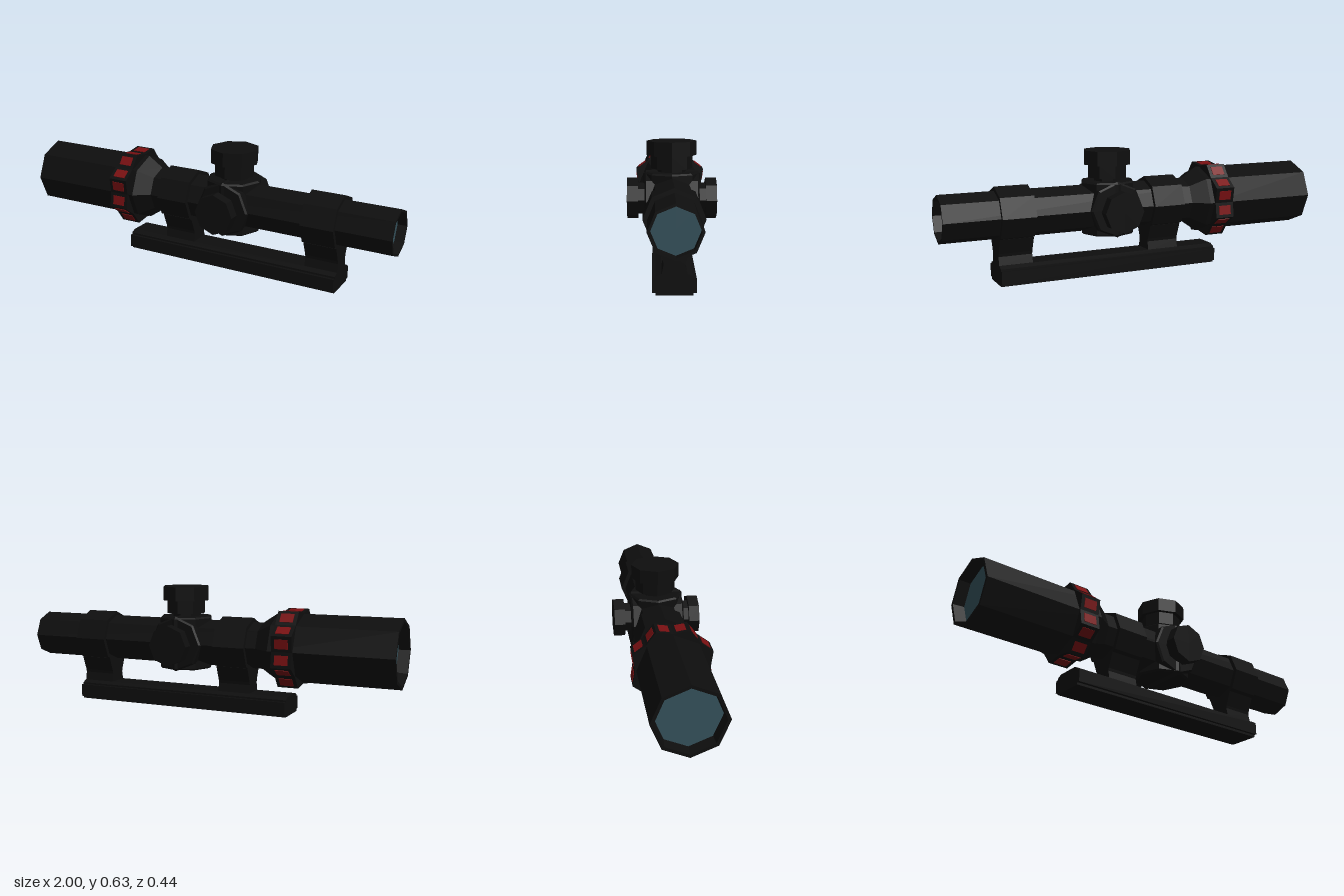
import * as THREE from 'three';

const AXIS_Y = 0.338;   // height of the optical axis
const TURRET_X = 0.133; // position of the adjustment turrets

export function createModel() {
  const black = new THREE.MeshStandardMaterial({ color: 0x0e0e0e });
  black.name = 'matte black';
  const red = new THREE.MeshStandardMaterial({ color: 0x7a1012 });
  red.name = 'dark red';
  const glass = new THREE.MeshStandardMaterial({ color: 0x34505a });
  glass.name = 'blue grey glass';

  const model = new THREE.Group();
  model.name = 'rifleScope';

  // Adds a faceted mesh
  function add(name, geometry, material, parent = model) {
    const g = geometry.index ? geometry.toNonIndexed() : geometry;
    g.computeVertexNormals();
    const mesh = new THREE.Mesh(g, material);
    mesh.name = name;
    parent.add(mesh);
    return mesh;
  }

  // Eight-sided turned part; the profile lists [radius, height]
  const turned = (profile) =>
    new THREE.LatheGeometry(profile.map(([r, h]) => new THREE.Vector2(r, h)), 8);

  // Turned part lying along x on the optical axis; the profile lists [x, radius]
  const alongAxis = (profile) =>
    turned(profile.map(([x, r]) => [r, x])).rotateZ(-Math.PI / 2).translate(0, AXIS_Y, 0);

  // Outline of [z, y] points extruded along x
  function extrudeX(points, x0, x1) {
    const shape = new THREE.Shape(points.map(([z, y]) => new THREE.Vector2(-z, y)));
    return new THREE.ExtrudeGeometry(shape, { depth: x1 - x0, bevelEnabled: false })
      .rotateY(Math.PI / 2).translate(x0, 0, 0);
  }
  const mirrored = (half) => [...half, ...half.map(([z, y]) => [-z, y]).reverse()];

  // Main tube with hollow ends
  add('mainTube', alongAxis([
    [-0.94, 0.148], [-1, 0.155], [-1, 0.171], [-0.38, 0.171], [-0.3, 0.118],
    [1, 0.118], [1, 0.106], [0.95, 0.105],
  ]), black);

  // Recessed lenses
  add('rightLens', new THREE.CircleGeometry(0.106, 8).rotateY(Math.PI / 2)
    .translate(0.955, AXIS_Y, 0), glass);
  add('leftLens', new THREE.CircleGeometry(0.15, 8).rotateY(-Math.PI / 2)
    .translate(-0.945, AXIS_Y, 0), glass);

  // Scalloped grip ring with a red mark on each facet
  const ring = new THREE.Group();
  ring.name = 'gripRing';
  ring.position.set(-0.4575, AXIS_Y, 0);
  model.add(ring);
  const corners = Array.from({ length: 16 }, (_, i) => {
    const a = (i * Math.PI) / 8;
    const r = i % 2 ? 0.204 : 0.177;
    return [r * Math.cos(a), r * Math.sin(a)];
  });
  add('ringBody', extrudeX(corners, -0.0525, 0.0525), black, ring);
  corners.forEach(([z0, y0], i) => {
    const [z1, y1] = corners[(i + 1) % 16];
    const length = Math.hypot(z1 - z0, y1 - y0);
    const mark = add('ringMark', new THREE.BoxGeometry(0.068, 0.006, length * 0.6), red, ring);
    mark.position.set(0, (y0 + y1) / 2, (z0 + z1) / 2);
    mark.rotation.x = -Math.atan2(y1 - y0, z1 - z0);
  });

  // Turret housing: two crossed drums with small bevels
  const drum = () => turned([
    [0, -0.135], [0.132, -0.135], [0.141, -0.127], [0.141, 0.127], [0.132, 0.135], [0, 0.135],
  ]);
  add('housingUpright', drum().translate(TURRET_X, AXIS_Y, 0), black);
  add('housingCross', drum().rotateX(Math.PI / 2).translate(TURRET_X, AXIS_Y, 0), black);

  // Top turret
  add('topTurret', turned([
    [0.072, 0.45], [0.072, 0.49], [0.103, 0.49], [0.103, 0.556],
    [0.124, 0.556], [0.124, 0.627], [0, 0.627],
  ]).translate(TURRET_X, 0, 0), black);

  // Side turrets
  for (const side of [1, -1]) {
    add(side > 0 ? 'frontTurret' : 'backTurret', turned([
      [0.078, 0.12], [0.078, 0.168], [0.103, 0.168], [0.103, 0.222], [0, 0.222],
    ]).rotateX(side * Math.PI / 2).translate(TURRET_X, AXIS_Y, 0), black);
  }

  // Clamp rings and their legs
  for (const [x0, x1] of [[-0.245, -0.075], [0.555, 0.725]]) {
    add('clampRing', alongAxis([[x0, 0.11], [x0, 0.139], [x1, 0.139], [x1, 0.11]]), black);
    add('mountLeg', extrudeX(mirrored([
      [0.056, 0.095], [0.047, 0.14], [0.05, 0.155], [0.08, 0.23],
    ]), x0, x1), black);
  }

  // Base rail with side ledges
  add('baseRail', extrudeX(mirrored([
    [0.083, 0], [0.083, 0.012], [0.098, 0.012], [0.098, 0.077],
    [0.083, 0.077], [0.083, 0.086], [0.057, 0.098],
  ]), -0.45, 0.725), black);

  return model;
}
